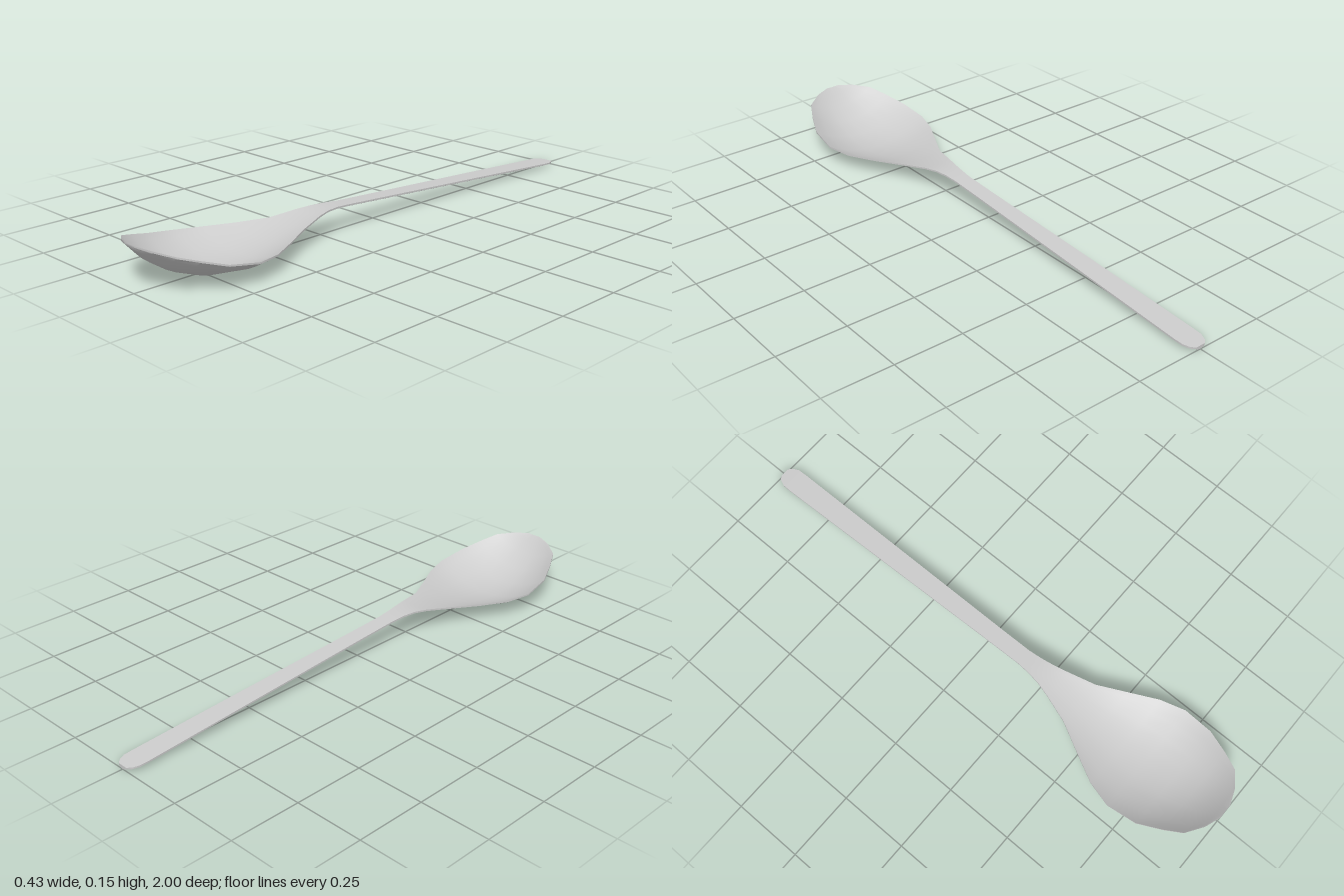
import * as THREE from 'three';
import { toCreasedNormals } from 'three/addons/utils/BufferGeometryUtils.js';

// Stations along the spoon: z, half width, rim height, underside centre height, centre thickness
const stations = [
  [-1, 0.018, 0.014, 0.002, 0.012],
  [-0.988, 0.031, 0.015, 0.001, 0.014],
  [-0.965, 0.041, 0.017, 0.002, 0.015],
  [-0.93, 0.042, 0.019, 0.004, 0.015],
  [-0.5, 0.037, 0.048, 0.034, 0.014],
  [0, 0.031, 0.081, 0.068, 0.013],
  [0.15, 0.030, 0.091, 0.079, 0.012],
  [0.2, 0.034, 0.095, 0.084, 0.011],
  [0.25, 0.042, 0.096, 0.086, 0.009],
  [0.3, 0.055, 0.092, 0.081, 0.008],
  [0.4, 0.086, 0.077, 0.062, 0.007],
  [0.5, 0.138, 0.071, 0.036, 0.007],
  [0.6, 0.189, 0.069, 0.015, 0.007],
  [0.69, 0.214, 0.074, 0.005, 0.007],
  [0.8, 0.204, 0.092, 0.015, 0.007],
  [0.88, 0.17, 0.116, 0.044, 0.007],
  [0.94, 0.138, 0.135, 0.084, 0.007],
  [0.98, 0.08, 0.148, 0.126, 0.006],
  [1, 0.026, 0.154, 0.148, 0.005],
];
const across = [-1, -0.87, -0.73, -0.5, -0.28, 0, 0.28, 0.5, 0.73, 0.87, 1];

// Closed cross-section: dished top from one side to the other, then back along the underside
function section([z, w, rim, under, thick]) {
  const edge = Math.min(thick, 0.006);
  const at = (u, mid, side) =>
    [u * w, mid + (side - mid) * Math.abs(u) ** 2.1, z];
  const top = across.map((u) => at(u, under + thick, rim));
  const bottom = across.map((u) => at(-u, under, rim - edge));
  return [...top, ...bottom];
}

function loft(rings) {
  const n = rings[0].length;
  const index = [];
  for (let i = 0; i < rings.length - 1; i++) {
    for (let j = 0; j < n; j++) {
      const a = i * n + j, b = i * n + (j + 1) % n;
      index.push(a, a + n, b + n, a, b + n, b);
    }
  }
  // end caps, as strips between top and underside
  const last = (rings.length - 1) * n;
  for (let j = 0; j < n / 2 - 1; j++) {
    const k = n - 1 - j;
    index.push(j, j + 1, k - 1, j, k - 1, k);
    index.push(last + j, last + k - 1, last + j + 1, last + j, last + k, last + k - 1);
  }
  const geometry = new THREE.BufferGeometry();
  geometry.setAttribute('position', new THREE.Float32BufferAttribute(rings.flat(2), 3));
  geometry.setIndex(index);
  return toCreasedNormals(geometry, 0.8);
}

export function createModel() {
  const group = new THREE.Group();
  group.name = 'spoon';
  // Handle and bowl are one continuous piece
  const material = new THREE.MeshStandardMaterial({ color: 0xcccccc });
  const spoon = new THREE.Mesh(loft(stations.map(section)), material);
  spoon.name = 'bowlAndHandle';
  group.add(spoon);
  return group;
}
